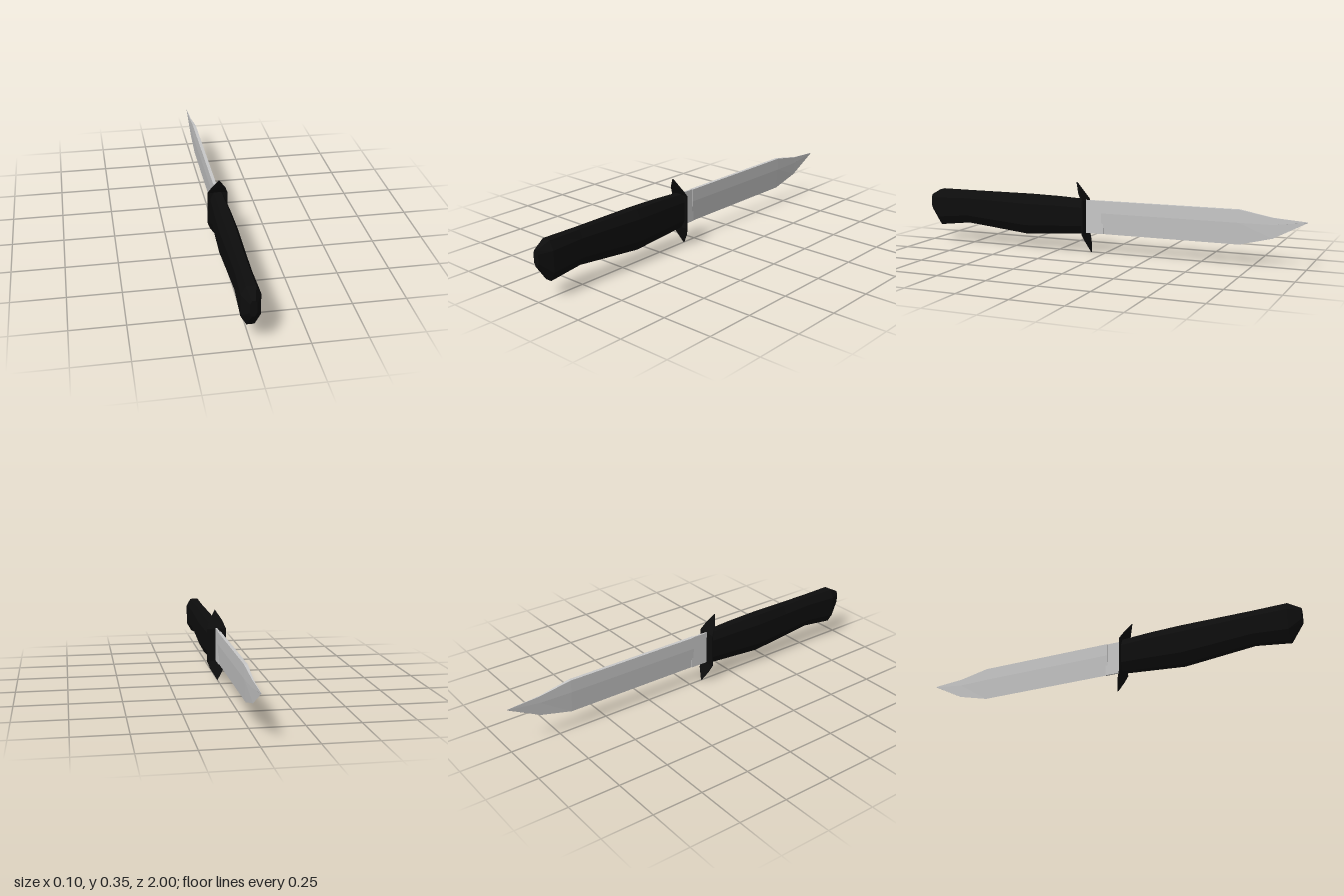
import * as THREE from 'three';

// Closed solid through rings of equal size, counter-clockwise seen from the end they advance to
function loft(rings) {
  const pos = [], n = rings[0].length, last = rings[rings.length - 1];
  const tri = (a, b, c) => pos.push(...a, ...b, ...c);
  for (let i = 0; i < rings.length - 1; i++) {
    for (let j = 0; j < n; j++) {
      const k = (j + 1) % n;
      tri(rings[i][j], rings[i][k], rings[i + 1][k]);
      tri(rings[i][j], rings[i + 1][k], rings[i + 1][j]);
    }
  }
  for (let j = 1; j < n - 1; j++) {
    tri(rings[0][0], rings[0][j + 1], rings[0][j]);
    tri(last[0], last[j], last[j + 1]);
  }
  const geo = new THREE.BufferGeometry();
  geo.setAttribute('position', new THREE.Float32BufferAttribute(pos, 3));
  geo.computeVertexNormals();
  return geo;
}

export function createModel() {
  const group = new THREE.Group();
  const steel = new THREE.MeshStandardMaterial({ color: 0xc8c8c8 });
  steel.name = 'steel';
  const black = new THREE.MeshStandardMaterial({ color: 0x0d0d0d });
  black.name = 'black';
  const add = (name, geo, mat) => {
    const mesh = new THREE.Mesh(geo, mat);
    mesh.name = name;
    group.add(mesh);
    return mesh;
  };

  // Blade: flat spine half, lower half ground down to an edge [z, top, ridge, edge, half thickness]
  const blade = [
    [-1, 0.222, 0.22, 0.219, 0.0004],
    [-0.84, 0.233, 0.2, 0.135, 0.003],
    [-0.68, 0.262, 0.2, 0.095, 0.008],
    [0.02, 0.262, 0.2, 0.095, 0.008],
  ].map(([z, top, mid, edge, t]) => [
    [0, edge, z], [t, mid, z], [t, top, z], [-t, top, z], [-t, mid, z],
  ]);
  add('blade', loft(blade), steel);

  // Unsharpened blade root
  add('bladeRoot', new THREE.BoxGeometry(0.008, 0.167, 0.1), steel).position.set(0, 0.1785, 0.06);

  // Guard: thin plate, upper wing swept to the handle, lower to the blade [y, z, half width]
  const guard = [
    [0, 0.075, 0.0005], [0.055, 0.092, 0.034], [0.092, 0.106, 0.048],
    [0.26, 0.106, 0.048], [0.296, 0.128, 0.034], [0.348, 0.153, 0.0005],
  ].map(([y, z, w]) => {
    const t = 0.003;
    return [[-w, y, z - t], [-w, y, z + t], [w, y, z + t], [w, y, z - t]];
  });
  add('guard', loft(guard), black);

  // Handle: octagonal sections with finger swell and tapered pommel [z, top, bottom, half width]
  const handle = [
    [0.106, 0.263, 0.093, 0.036], [0.26, 0.27, 0.082, 0.041],
    [0.42, 0.273, 0.07, 0.044], [0.6, 0.273, 0.088, 0.04],
    [0.77, 0.273, 0.105, 0.037], [0.94, 0.273, 0.085, 0.043],
    [1, 0.242, 0.165, 0.015],
  ].map(([z, top, bottom, w]) => {
    const at = (x, f) => [x * w, bottom + f * (top - bottom), z];
    return [
      at(0.4, 0), at(1, 0.24), at(1, 0.78), at(0.5, 1),
      at(-0.5, 1), at(-1, 0.78), at(-1, 0.24), at(-0.4, 0),
    ];
  });
  add('handle', loft(handle), black);

  return group;
}
